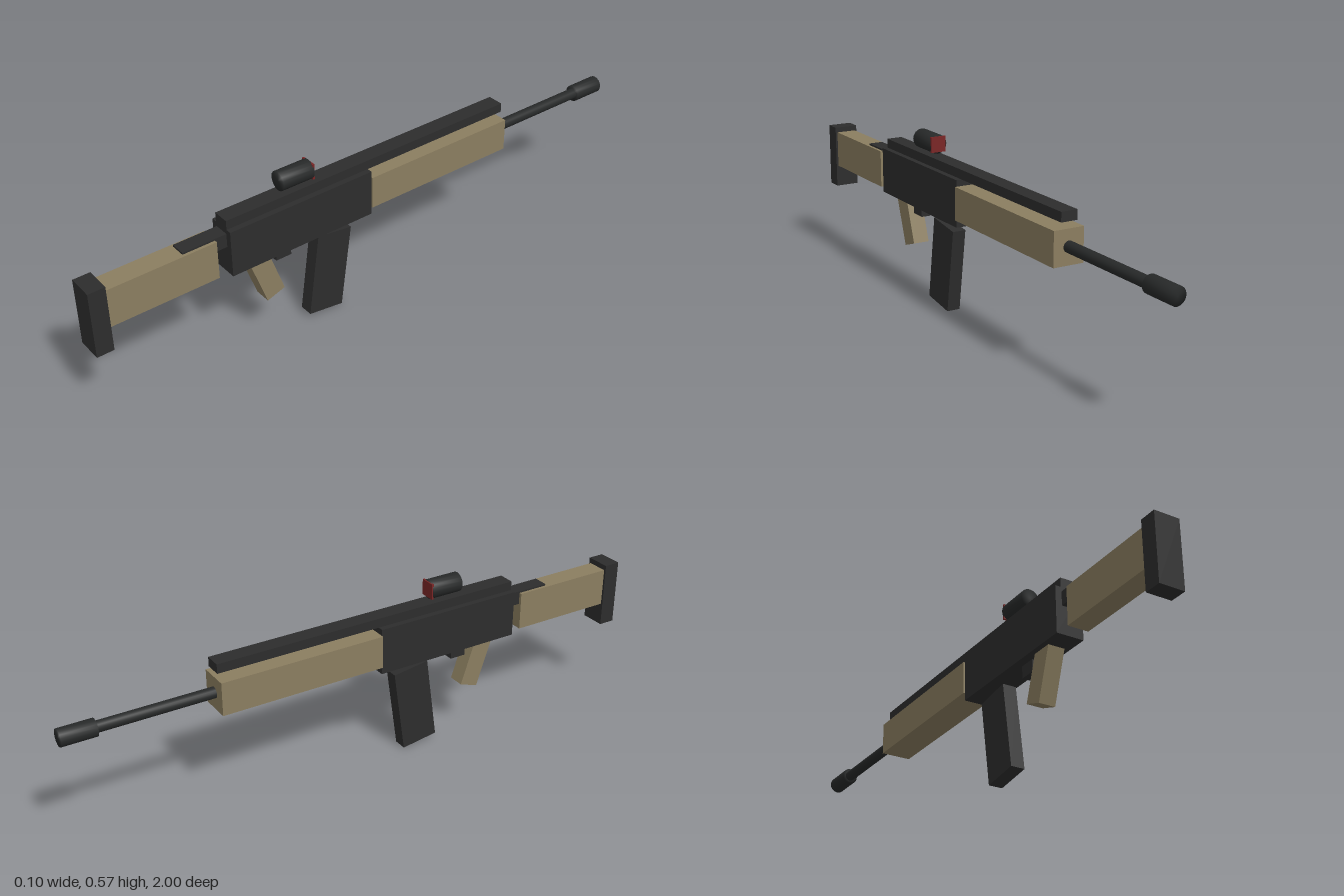
import * as THREE from 'three';
import { mergeVertices } from 'three/addons/utils/BufferGeometryUtils.js';

const mat = (name, color) => {
  const m = new THREE.MeshStandardMaterial({ color });
  m.name = name;
  return m;
};

export function createModel() {
  const tan = mat('tan', 0x8b7e60);
  const black = mat('black', 0x2d2d2d);
  const metal = mat('dark metal', 0x272929);
  const red = mat('lens red', 0x7a2626);
  const group = new THREE.Group();
  group.name = 'rifle';

  const add = (name, geometry, material) => {
    const mesh = new THREE.Mesh(geometry, material);
    mesh.name = name;
    group.add(mesh);
    return mesh;
  };

  // box centred on x, given its width and its y and z ranges
  const box = (name, material, w, y0, y1, z0, z1) => {
    const mesh = add(name, new THREE.BoxGeometry(w, y1 - y0, z1 - z0), material);
    mesh.position.set(0, (y0 + y1) / 2, (z0 + z1) / 2);
  };

  // box leaning in the side plane
  const leaningBox = (name, material, size, y, z, angle) => {
    const mesh = add(name, new THREE.BoxGeometry(...size), material);
    mesh.position.set(0, y, z);
    mesh.rotation.x = angle;
  };

  // tube along z, with normals shared between side and caps for soft ends
  const rod = (name, material, r, y, z0, z1) => {
    let g = new THREE.CylinderGeometry(r, r, z1 - z0, 16).rotateX(Math.PI / 2);
    g.deleteAttribute('normal');
    g.deleteAttribute('uv');
    g = mergeVertices(g);
    g.computeVertexNormals();
    add(name, g, material).position.set(0, y, (z0 + z1) / 2);
  };

  // body
  box('receiver', black, 0.092, 0.318, 0.473, 0.035, 0.548);
  box('topRail', black, 0.055, 0.473, 0.504, -0.52, 0.548);
  box('handguard', tan, 0.102, 0.343, 0.452, -0.52, 0.035);

  // shoulder stock
  box('stock', tan, 0.07, 0.325, 0.452, 0.587, 0.945);
  box('stockConnector', black, 0.05, 0.412, 0.458, 0.545, 0.695);
  box('buttPad', black, 0.084, 0.249, 0.47, 0.945, 1);

  // parts below the receiver
  leaningBox('grip', tan, [0.056, 0.2, 0.067], 0.26, 0.423, 0.33);
  leaningBox('magazine', black, [0.046, 0.286, 0.126], 0.151, 0.181, -0.14);
  box('trigger', black, 0.034, 0.278, 0.32, 0.322, 0.377);

  // barrel and muzzle
  rod('barrel', metal, 0.018, 0.399, -0.92, -0.5);
  rod('muzzle', metal, 0.028, 0.399, -1, -0.89);

  // sight
  rod('sight', metal, 0.032, 0.543, 0.237, 0.347);
  box('sightLens', red, 0.052, 0.517, 0.569, 0.233, 0.24);

  return group;
}
